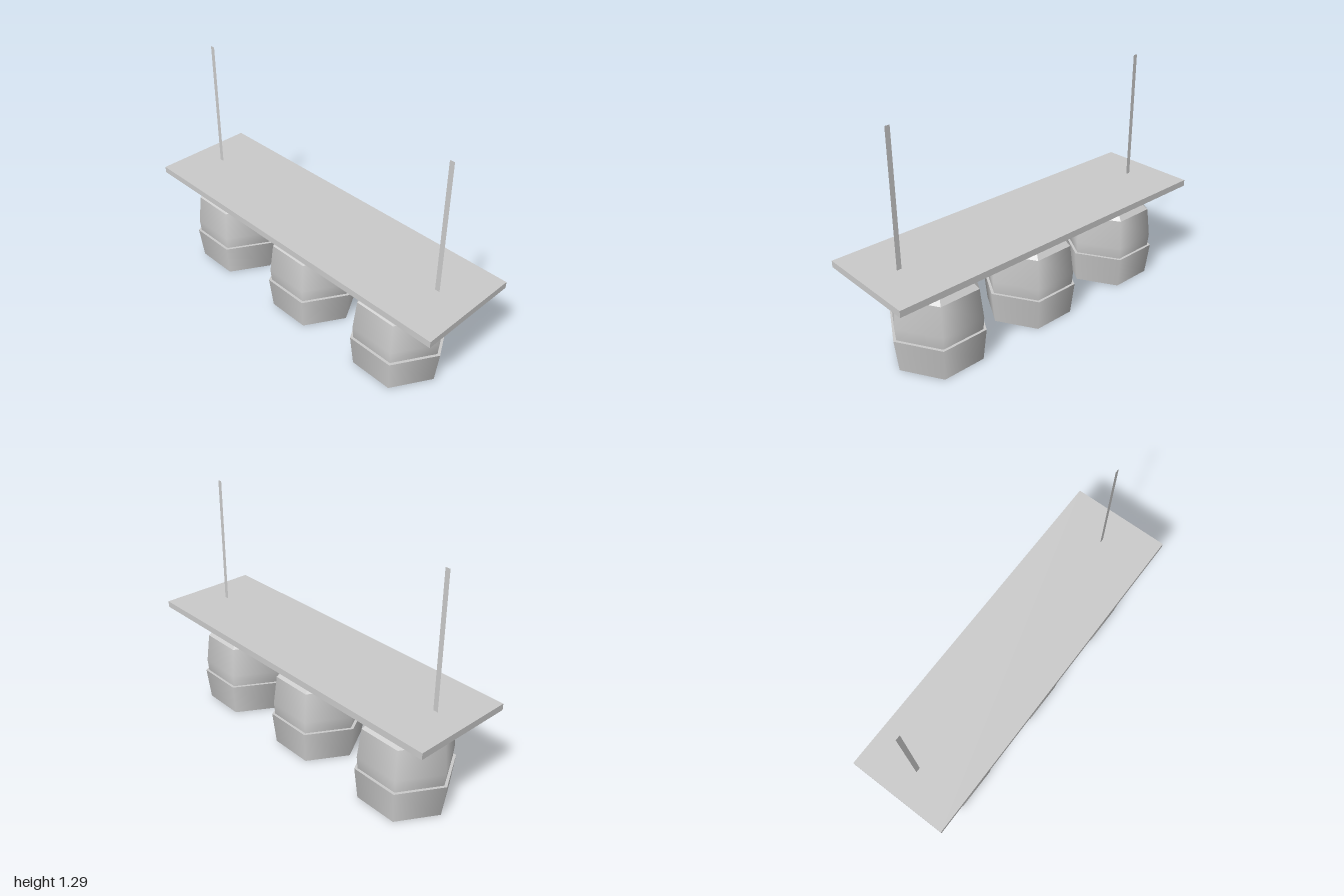
import * as THREE from 'three';

const smooth = new THREE.MeshStandardMaterial({ color: 0xcccccc, side: THREE.DoubleSide });
const flat = new THREE.MeshStandardMaterial({ color: 0xcccccc, side: THREE.DoubleSide, flatShading: true });

function part(name, geometry, material, parent) {
  const mesh = new THREE.Mesh(geometry, material);
  mesh.name = name;
  parent.add(mesh);
  return mesh;
}

// Six-sided turned shell with corners on the x axis; profile is [radius, y] from bottom to top
function hexShell(profile) {
  const points = profile.map(([r, y]) => new THREE.Vector2(r, y));
  return new THREE.LatheGeometry(points, 6, Math.PI / 2);
}

// Thin flat strip in the xy plane
function strip(name, x, y0, y1, width, parent) {
  const mesh = part(name, new THREE.PlaneGeometry(width, y1 - y0), flat, parent);
  mesh.position.set(x, (y0 + y1) / 2, 0);
}

function createLamp(x) {
  const lamp = new THREE.Group();
  lamp.name = 'lamp';
  lamp.position.set(x, 0, 0.004);
  // Open flared band at the bottom
  part('shadeBand', hexShell([[0.246, 0], [0.267, 0.185]]), smooth, lamp);
  part('bandLedge', hexShell([[0.267, 0.185], [0.25, 0.185]]), flat, lamp);
  // Bulging shade wall
  part('shadeBody', hexShell([[0.25, 0.185], [0.256, 0.255], [0.236, 0.42]]), smooth, lamp);
  // Faceted closed top
  part('shadeCap', hexShell([[0.236, 0.42], [0.206, 0.449], [0.114, 0.472], [0, 0.472]]), flat, lamp);
  strip('stem', 0, 0.47, 0.537, 0.03, lamp);
  return lamp;
}

export function createModel() {
  const model = new THREE.Group();
  model.name = 'hangingLampBar';

  // Long board carrying the lamps
  const board = part('board', new THREE.BoxGeometry(2, 0.036, 0.576), flat, model);
  board.position.y = 0.553;

  // Flat hanging rods
  for (const x of [-0.828, 0.807]) strip('hangingRod', x, 0.57, 1.295, 0.027, model);

  // Row of lamps
  for (const x of [-0.667, -0.023, 0.605]) model.add(createLamp(x));

  return model;
}
